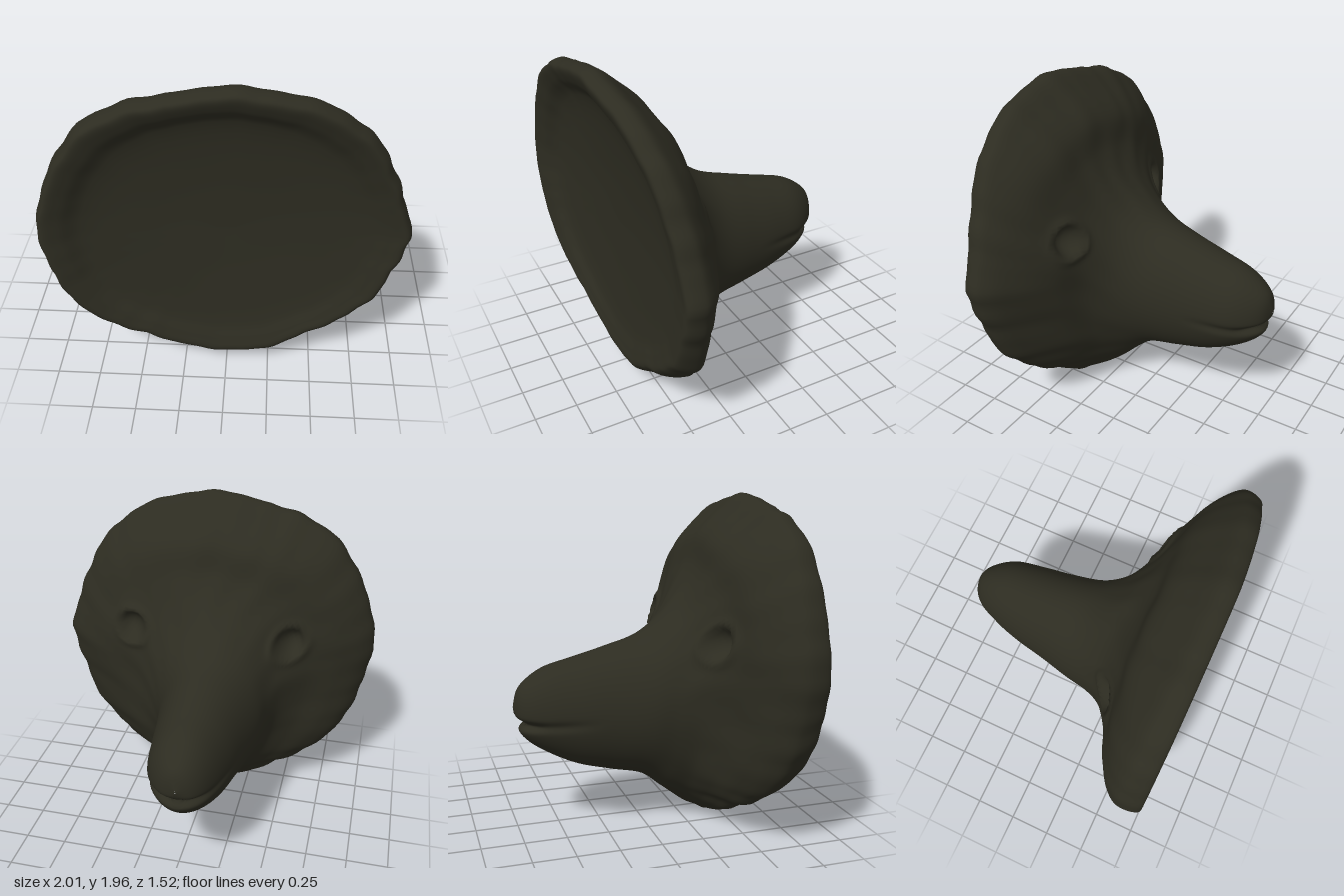
import * as THREE from 'three';
import { mergeVertices } from 'three/addons/utils/BufferGeometryUtils.js';

// Snout cross-sections from the nose tip: z, left x, right x, top y, bottom y, centre y
const SNOUT = [
  [-.765, -.06, -.06, .76, .76, .76],
  [-.735, -.14, .03, .86, .62, .73],
  [-.685, -.19, .09, .915, .555, .72],
  [-.58, -.24, .155, .98, .48, .71],
  [-.4, -.29, .19, 1.03, .39, .70],
  [-.2, -.33, .215, 1.085, .335, .70],
  [0, -.38, .255, 1.15, .285, .72],
];
// Flaring face up to the front edge: left x, z, right x, z, top y, z, bottom y, z, centre y
const FACE = [
  [-.41, .14, .32, .12, 1.26, .15, .19, .12, .78],
  [-.47, .25, .43, .21, 1.39, .265, .10, .23, .87],
  [-.61, .36, .63, .28, 1.54, .35, .05, .31, .94],
  [-.80, .44, .84, .39, 1.72, .405, .025, .37, .98],
  [-.93, .53, .95, .47, 1.87, .55, .005, .41, 1],
  [-.985, .62, .985, .53, 1.965, .68, .01, .45, 1],
  [-.96, .745, .96, .62, 1.94, .755, .13, .64, 1],
];
// Dish rings inside the front edge: size, share of the full depth
const DISH = [[.91, .12], [.8, .5], [.42, .85], [0, 1]];
const DISH_Z = .57;
// Uneven rim radius, every 15 degrees from +x towards +y
const RIM = [1, .96, .97, 1, .995, .975, .97, .95, .99, 1.02, 1, 1,
  1, .98, 1, .985, .95, .97, .99, .98, .93, .94, .97, .96];
const EYES = [[-.5, 1.15], [.49, 1.18]];
const AROUND = 168, STEPS = 7;

// All rings in the layout of FACE
function rings() {
  const snout = SNOUT.map(([z, l, r, t, b, c]) => [l, z, r, z, t, z, b, z, c]);
  const edge = FACE[FACE.length - 1];
  const dish = DISH.map(([size, depth]) => edge.map((v, k) => {
    if (k === 8) return v;
    if (k % 2) return THREE.MathUtils.lerp(v, DISH_Z, depth);
    return k < 4 ? v * size : 1 + (v - 1) * size;
  }));
  return [...snout, ...FACE, ...dish];
}

function rimFactor(a) {
  const t = a / (Math.PI * 2) * RIM.length;
  const i = Math.floor(t), f = t - i;
  const crinkle = .004 * Math.sin(a * 19 + 2 * Math.sin(a * 3)) + .003 * Math.sin(a * 34 + 1);
  return THREE.MathUtils.lerp(RIM[i], RIM[(i + 1) % RIM.length], f) / .985 + crinkle;
}

function headGeometry() {
  const rows = rings();
  const curve = pick => new THREE.CatmullRomCurve3(rows.map(pick));
  const curves = [0, 2, 4, 6].map(k => curve(r => new THREE.Vector3(r[k], r[k + 1], 0)));
  const centre = curve((r, i) => new THREE.Vector3(i < 8 ? -.05 : 0, r[8], i * .1));
  const count = (rows.length - 1) * STEPS, pos = [], index = [];

  for (let i = 0; i <= count; i++) {
    const row = i / STEPS;
    const [L, R, T, B] = curves.map(c => c.getPoint(i / count));
    const C = centre.getPoint(i / count);
    const rimWeight = THREE.MathUtils.smoothstep(row, 7, 11)
      * (1 - .8 * THREE.MathUtils.smoothstep(row, 13, 16));
    for (let j = 0; j < AROUND; j++) {
      const a = j / AROUND * Math.PI * 2, c = Math.cos(a), s = Math.sin(a);
      const side = c > 0 ? R : L, upright = s > 0 ? T : B;
      const f = 1 + (rimFactor(a) - 1) * rimWeight;
      let x = C.x + Math.abs(c) * (side.x - C.x) * f;
      const y = C.y + Math.abs(s) * (upright.x - C.y) * f;
      let z = side.y * c * c + upright.y * s * s;

      // Mouth crease along the sides and across the tip of the snout
      if (row < 6) {
        const dy = (y - (.665 + .05 * Math.max(0, z + .65))) / .027;
        const cut = Math.exp(-dy * dy) * (1 - THREE.MathUtils.smoothstep(z, -.68, -.25));
        x += (C.x - x) * .11 * cut;
        z += .05 * cut * (1 - THREE.MathUtils.smoothstep(z, -.74, -.55));
      }
      // Eye sockets with a raised edge, and soft wrinkles over the face
      if (row > 6 && row < 11.5) {
        for (const [ex, ey] of EYES) {
          const d = Math.hypot(x - ex, y - ey) / .095;
          if (d < 1) z += .075 * (1 - d * d);
          z -= .018 * Math.exp(-(((d - 1.15) / .25) ** 2));
        }
        const w = Math.sin((row - 6) / 5.5 * Math.PI);
        z += w * (.005 * Math.sin(a * 7 + row) + .003 * Math.sin(a * 17 - row * 2));
      }
      pos.push(x, Math.max(0, y), z);

      // Both end rings are single points, so they get one triangle per step
      const k = (j + 1) % AROUND, p = i * AROUND, q = p + AROUND;
      if (i > 0 && i < count) index.push(p + j, p + k, q + j);
      if (i < count - 1) index.push(p + k, q + k, q + j);
    }
  }
  const raw = new THREE.BufferGeometry();
  raw.setAttribute('position', new THREE.Float32BufferAttribute(pos, 3));
  raw.setIndex(index);
  const geometry = mergeVertices(raw, 1e-4);
  geometry.computeVertexNormals();
  return geometry;
}

export function createModel() {
  const model = new THREE.Group();
  model.name = 'animalHead';
  const hide = new THREE.MeshStandardMaterial({ color: 0x2d2c21 });
  hide.name = 'darkOliveHide';
  const head = new THREE.Mesh(headGeometry(), hide);
  head.name = 'headWithSnoutAndDish';
  model.add(head);
  return model;
}
